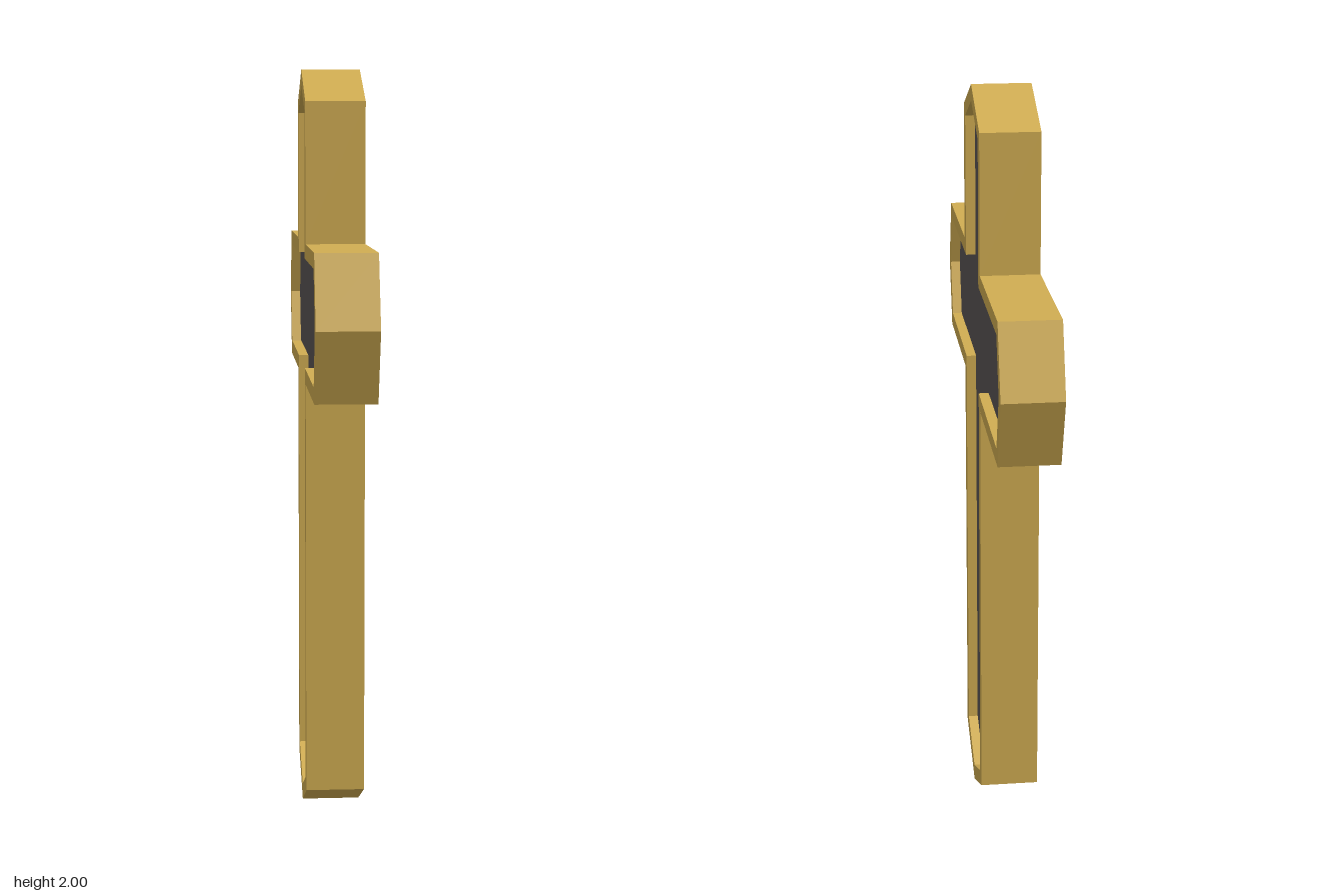
import * as THREE from 'three';

// Pointed cross outline, listed for one side and mirrored to the other
function crossPoints({ half, top, topShoulder, armTop, armBottom, armShoulder, tip, bottomShoulder, bottom }) {
  const side = [
    [half, bottomShoulder], [half, armBottom], [armShoulder, armBottom],
    [tip, 1.368], [armShoulder, armTop], [half, armTop], [half, topShoulder],
  ];
  const mirrored = side.map(([u, y]) => [-u, y]).reverse();
  return [[0, bottom], ...side, [0, top], ...mirrored].map(([u, y]) => new THREE.Vector2(u, y));
}

// Extrude an outline along x, centred on x = 0
function slab(shape, thickness) {
  const geometry = new THREE.ExtrudeGeometry(shape, { depth: thickness, bevelEnabled: false });
  geometry.translate(0, 0, -thickness / 2);
  geometry.rotateY(Math.PI / 2);
  return geometry;
}

export function createModel() {
  const gold = new THREE.MeshStandardMaterial({ color: 0xd1ad52 });
  gold.name = 'gold';
  const darkGrey = new THREE.MeshStandardMaterial({ color: 0x5b5655 });
  darkGrey.name = 'darkGrey';

  const outer = crossPoints({
    half: 0.2, top: 2, topShoulder: 1.914, armTop: 1.55, armBottom: 1.186,
    armShoulder: 0.606, tip: 0.671, bottomShoulder: 0.09, bottom: 0,
  });
  const inner = crossPoints({
    half: 0.162, top: 1.958, topShoulder: 1.889, armTop: 1.511, armBottom: 1.225,
    armShoulder: 0.58, tip: 0.629, bottomShoulder: 0.116, bottom: 0.044,
  });

  const model = new THREE.Group();
  model.name = 'cross';

  // Raised border around the whole outline
  const frameShape = new THREE.Shape(outer);
  frameShape.holes.push(new THREE.Path(inner));
  const frame = new THREE.Mesh(slab(frameShape, 0.155), gold);
  frame.name = 'frame';

  // Core sunk below the border on both faces
  const panel = new THREE.Mesh(slab(new THREE.Shape(inner), 0.103), darkGrey);
  panel.name = 'recessedPanel';

  model.add(frame, panel);
  return model;
}
